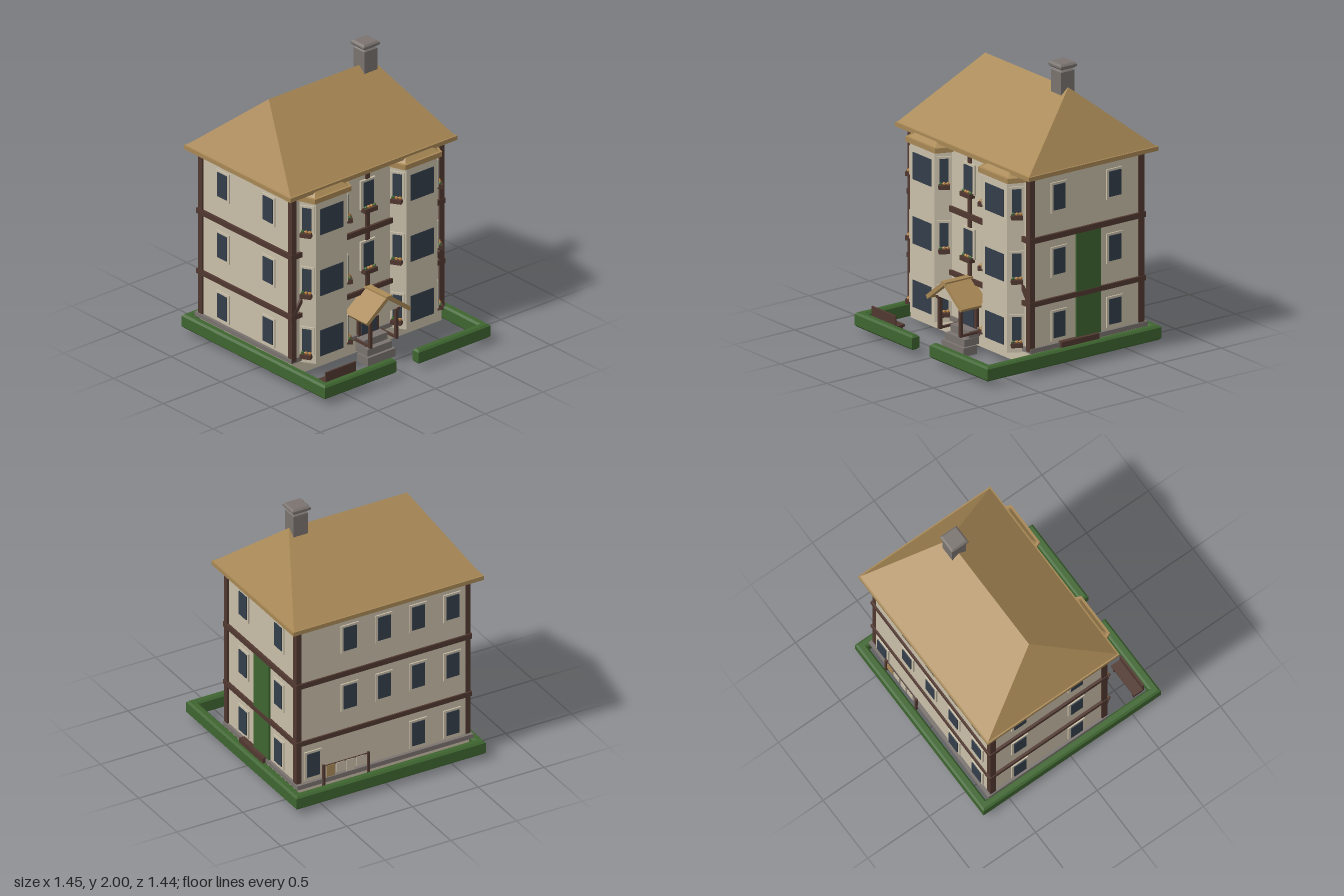
import * as THREE from 'three';

const mat = (name, color, double) => {
  const m = new THREE.MeshStandardMaterial({ color });
  m.name = name;
  if (double) m.side = THREE.DoubleSide;
  return m;
};

// rectangle outline in plan, counter-clockwise seen from above
const rect = (x0, x1, z0, z1) => [[x0, z1], [x1, z1], [x1, z0], [x0, z0]];

// faceted solid through stacked plan outlines: rings = [[y, points], ...]
function loft(rings, closedBottom = true) {
  const pos = [];
  const put = (...list) => list.forEach(([y, p]) => pos.push(p[0], y, p[1]));
  for (let r = 0; r < rings.length - 1; r++) {
    const [y0, a] = rings[r], [y1, b] = rings[r + 1];
    a.forEach((p, i) => {
      const j = (i + 1) % a.length;
      put([y0, p], [y0, a[j]], [y1, b[j]], [y0, p], [y1, b[j]], [y1, b[i]]);
    });
  }
  const [yb, bot] = rings[0], [yt, top] = rings[rings.length - 1];
  for (let i = 1; i < bot.length - 1; i++) {
    put([yt, top[0]], [yt, top[i]], [yt, top[i + 1]]);
    if (closedBottom) put([yb, bot[0]], [yb, bot[i + 1]], [yb, bot[i]]);
  }
  const g = new THREE.BufferGeometry();
  g.setAttribute('position', new THREE.Float32BufferAttribute(pos, 3));
  g.computeVertexNormals();
  return g;
}

// box with chamfered edges
function chamferBox(x0, x1, y0, y1, z0, z1, c) {
  const inner = rect(x0 + c, x1 - c, z0 + c, z1 - c), outer = rect(x0, x1, z0, z1);
  return loft([[y0, inner], [y0 + c, outer], [y1 - c, outer], [y1, inner]]);
}

export function createModel() {
  const house = new THREE.Group();
  house.name = 'house';
  const wall = mat('cream plaster', 0xc8bea8, true);
  const thatch = mat('tan roof', 0xa88855);
  const wood = mat('dark timber', 0x513830);
  const green = mat('leaf green', 0x3e6530);
  const stone = mat('grey stone', 0x7a736f);
  const glass = mat('dark glass', 0x333e4a);
  const flower = mat('orange flowers', 0xb8803c);

  const add = (name, geo, m, parent = house) => {
    const mesh = new THREE.Mesh(geo, m);
    mesh.name = name;
    parent.add(mesh);
    return mesh;
  };
  const box = (name, m, x0, x1, y0, y1, z0, z1, parent) => {
    const mesh = add(name, new THREE.BoxGeometry(x1 - x0, y1 - y0, z1 - z0), m, parent);
    mesh.position.set((x0 + x1) / 2, (y0 + y1) / 2, (z0 + z1) / 2);
    return mesh;
  };

  // walls, plinth
  const X = 0.65, ZF = 0.31, ZB = -0.62;
  const plan = rect(-X, X, ZB, ZF);
  add('walls', loft([[0.04, plan], [1.37, plan]], false), wall);
  box('plinth', stone, -0.67, 0.67, 0.14, 0.172, -0.645, 0.325);

  // main hipped roof with eave slab
  const eave = rect(-0.725, 0.725, -0.69, 0.38);
  add('roof', loft([[1.36, eave], [1.39, eave], [1.391, rect(-0.715, 0.715, -0.68, 0.37)],
    [1.835, rect(-0.45, 0.45, -0.155, -0.155)]]), thatch);

  // chimney
  add('chimneyStack', chamferBox(0.335, 0.445, 1.72, 1.96, -0.21, -0.1, 0.015), stone);
  add('chimneyCap', chamferBox(0.32, 0.457, 1.962, 2, -0.222, -0.088, 0.012), stone);

  // timber frame
  for (const s of [-1, 1]) {
    for (const z of [0.305, -0.6])
      box('cornerPost', wood, s * 0.643 - 0.02, s * 0.643 + 0.02, 0.15, 1.36, z - 0.021, z + 0.021);
    const brace = box('brace', wood, -0.0125, 0.0125, -0.1, 0.1, -0.01, 0.01);
    brace.position.set(s * 0.585, 0.57, ZF + 0.008);
    brace.rotation.z = s * 0.62;
  }
  for (const [y0, y1] of [[0.458, 0.492], [0.897, 0.935], [1.343, 1.362]])
    box('timberBand', wood, -0.668, 0.668, y0, y1, -0.632, 0.328);
  box('centrePost', wood, -0.015, 0.015, 0.49, 1.36, ZF - 0.01, ZF + 0.012);

  // flower box below a window, in the window's own frame
  function flowerBox(parent, w, y) {
    box('planter', wood, -w / 2, w / 2, y - 0.03, y, 0, 0.045, parent);
    const n = Math.round(w / 0.025);
    for (let i = 0; i < n; i++) {
      const bloom = add('bloom', new THREE.IcosahedronGeometry(0.012, 0), i % 3 ? flower : green, parent);
      bloom.position.set((i - (n - 1) / 2) * 0.025, y + 0.008, 0.025);
    }
  }

  // framed window facing along angle a
  function windowAt(x, y, z, a, w = 0.096, h = 0.175, flowers = 0) {
    const g = new THREE.Group();
    g.name = 'window';
    g.position.set(x, y, z);
    g.rotation.y = a;
    box('frame', wall, -w / 2 - 0.018, w / 2 + 0.018, -h / 2 - 0.02, h / 2 + 0.015, -0.005, 0.01, g);
    box('glass', glass, -w / 2, w / 2, -h / 2, h / 2, 0.008, 0.016, g);
    if (flowers) flowerBox(g, flowers, -h / 2 - 0.01);
    house.add(g);
  }

  const floors = [0.297, 0.737, 1.183];
  floors.forEach((y, f) => {
    for (const z of [0.08, -0.38]) {
      windowAt(X, y, z, Math.PI / 2);
      windowAt(-X, y, z, -Math.PI / 2);
    }
    for (const x of f ? [0.26, 0, -0.26, -0.52] : [0.54, -0.26, -0.52])
      windowAt(x, y, ZB, Math.PI);
    if (f) windowAt(0, y, ZF + 0.006, 0, 0.09, 0.175, 0.11);
  });

  // bay windows with canted sides and small hipped roofs
  const h = 0.133, slant = Math.atan2(0.1, 0.06);
  for (const s of [-1, 1]) {
    const cx = s * 0.393;
    const bay = (w, zf, flare) => [[cx - w, zf], [cx + w, zf], [cx + w + flare, 0.3], [cx - w - flare, 0.3]];
    add('bayWall', loft([[0.13, bay(h, 0.41, 0.066)], [1.32, bay(h, 0.41, 0.066)]]), wall);
    const lip = bay(0.16, 0.427, 0.05);
    add('bayRoof', loft([[1.31, lip], [1.345, lip], [1.346, bay(0.145, 0.41, 0.05)], [1.395, bay(0.095, 0.355, 0.03)]]), thatch);
    floors.forEach((y) => {
      box('bayGlass', glass, cx - 0.1, cx + 0.1, y - 0.12, y + 0.068, 0.405, 0.415);
      for (const t of [-1, 1])
        windowAt(cx + t * (h + 0.032), y, 0.357, t * slant, 0.062, 0.165, 0.075);
    });
  }

  // front door, steps and gabled porch
  box('doorFrame', wood, -0.09, 0.09, 0.14, 0.348, ZF - 0.02, ZF + 0.02);
  box('doorGlass', glass, -0.066, 0.066, 0.165, 0.325, ZF + 0.018, ZF + 0.026);
  box('lowerStep', stone, -0.12, 0.12, 0, 0.06, 0.35, 0.46);
  box('middleStep', stone, -0.105, 0.105, 0.06, 0.11, 0.32, 0.44);
  box('upperStep', stone, -0.1, 0.1, 0.11, 0.16, 0.3, 0.4);
  for (const s of [-1, 1]) {
    box('porchPost', wood, s * 0.113 - 0.011, s * 0.113 + 0.011, 0.14, 0.38, 0.465, 0.487);
    box('porchRail', wood, s * 0.113 - 0.008, s * 0.113 + 0.008, 0.14, 0.155, 0.32, 0.48);
    box('porchBeam', wood, s * 0.113 - 0.01, s * 0.113 + 0.01, 0.355, 0.375, 0.31, 0.5);
    const slope = box('porchRoof', thatch, -0.118, 0.118, -0.014, 0.014, -0.115, 0.115);
    slope.position.set(s * 0.094, 0.423, 0.417);
    slope.rotation.z = -s * 0.66;
  }
  box('porchRidge', thatch, -0.025, 0.025, 0.484, 0.505, 0.3, 0.535);
  const gable = new THREE.Shape([[-0.14, 0.37], [0.14, 0.37], [0, 0.475]].map((p) => new THREE.Vector2(...p)));
  add('porchGable', new THREE.ExtrudeGeometry(gable, { depth: 0.02, bevelEnabled: false }), wall).position.z = 0.475;

  // hedge around the plot, open at the front path
  const hedge = (x0, x1, z0, z1) => add('hedge', chamferBox(x0, x1, 0.04, 0.14, z0, z1, 0.013), green);
  hedge(-0.72, 0.72, -0.72, -0.66);
  for (const s of [-1, 1]) {
    const [a, b] = [s * 0.66, s * 0.72].sort((p, q) => p - q);
    hedge(a, b, -0.72, 0.72);
    const [c, d] = [s * 0.095, s * 0.72].sort((p, q) => p - q);
    hedge(c, d, 0.66, 0.72);
  }

  // climbing plant and its bed on the left wall
  box('climber', green, X - 0.005, X + 0.014, 0.165, 0.898, -0.26, -0.06);
  box('plantBed', wood, 0.6, 0.69, 0.13, 0.178, -0.23, 0.08);
  box('cellarHatch', wood, 0.28, 0.58, 0.125, 0.145, -0.5, -0.21);

  // garden bench
  box('benchSeat', wood, -0.64, -0.38, 0.1, 0.115, 0.56, 0.64);
  box('benchBack', wood, -0.64, -0.38, 0.115, 0.188, 0.63, 0.642);
  for (const x of [-0.625, -0.41])
    box('benchLeg', wood, x, x + 0.015, 0.04, 0.1, 0.565, 0.635);

  // washing line behind the house
  for (const x of [0.47, 0.13]) box('linePost', wood, x - 0.008, x + 0.008, 0.1, 0.28, -0.657, -0.641);
  box('line', wood, 0.13, 0.47, 0.268, 0.274, -0.652, -0.646);
  [thatch, wall, wall, wall].forEach((m, i) => {
    const x = 0.42 - i * 0.075;
    box('laundry', m, x - 0.03, x + 0.03, 0.185 + (i % 2) * 0.015, 0.27, -0.656, -0.65);
  });

  return house;
}
